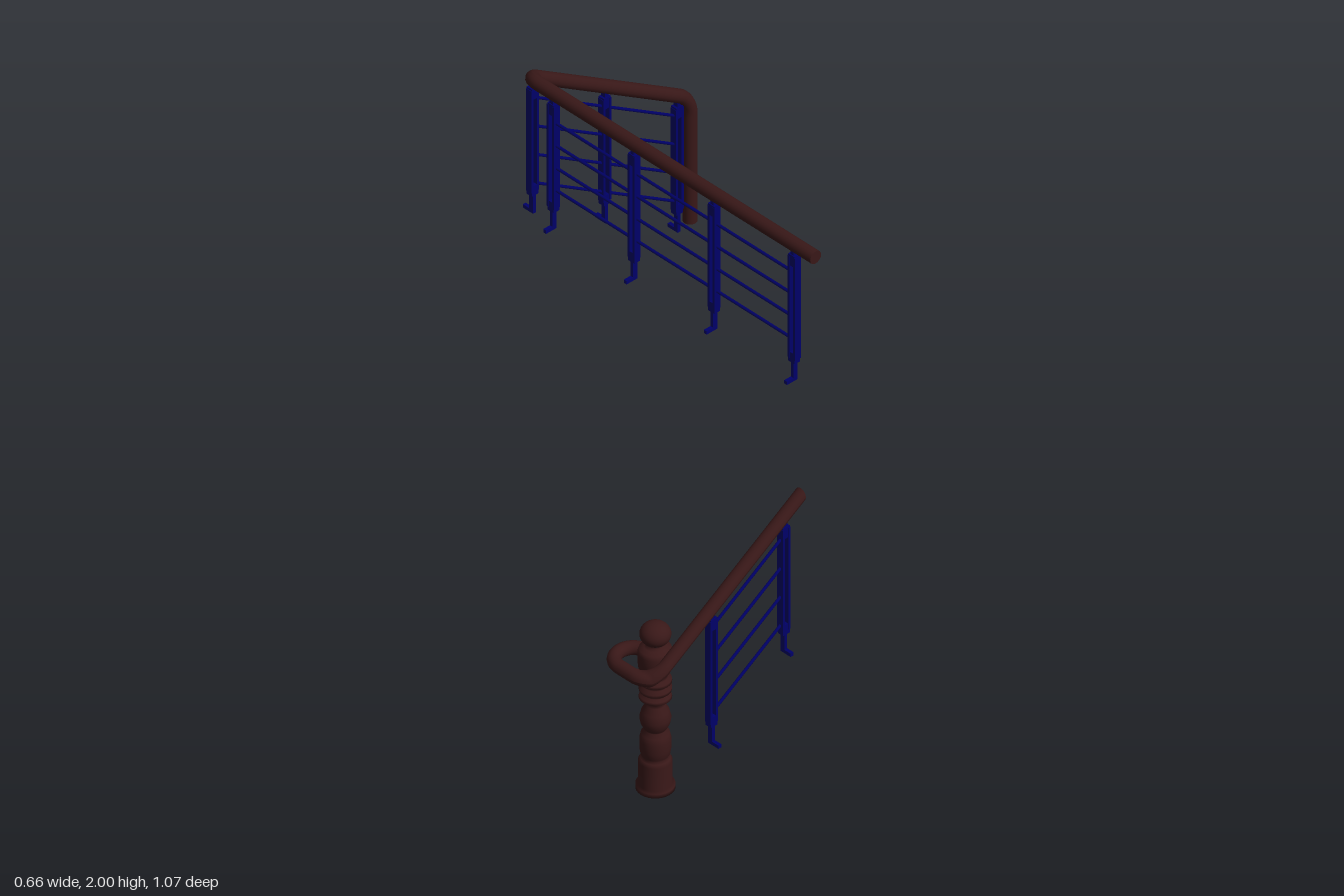
import * as THREE from 'three';

const wood = new THREE.MeshStandardMaterial({ color: 0x391818 });
wood.name = 'dark brown wood';
const metal = new THREE.MeshStandardMaterial({ color: 0x000068 });
metal.name = 'navy metal';

const SLOPE = 0.635;
const RAIL_R = 0.0187;
const V = (x, y, z) => new THREE.Vector3(x, y, z);

function add(parent, name, geometry, material, x = 0, y = 0, z = 0) {
  const mesh = new THREE.Mesh(geometry, material);
  mesh.name = name;
  mesh.position.set(x, y, z);
  parent.add(mesh);
  return mesh;
}

// Round handrail through corner points, each corner rounded by its own radius;
// lift(x, z) raises the finished tube by a rule
function handrail(name, corners, radii, lift = () => 0) {
  const group = new THREE.Group();
  group.name = name;
  const path = new THREE.CurvePath();
  let from = corners[0];
  for (let i = 1; i < corners.length - 1; i++) {
    const c = corners[i], r = radii[i - 1];
    const a = c.clone().add(corners[i - 1].clone().sub(c).setLength(r));
    const b = c.clone().add(corners[i + 1].clone().sub(c).setLength(r));
    if (from.distanceTo(a) > 1e-4) path.add(new THREE.LineCurve3(from, a));
    // cubic handles close to a circular arc
    path.add(new THREE.CubicBezierCurve3(a, a.clone().lerp(c, 0.55), b.clone().lerp(c, 0.55), b));
    from = b;
  }
  const last = corners[corners.length - 1];
  path.add(new THREE.LineCurve3(from, last));
  const tube = new THREE.TubeGeometry(path, 220, RAIL_R, 16, false);
  const pos = tube.attributes.position;
  for (let i = 0; i < pos.count; i++) {
    pos.setY(i, pos.getY(i) + lift(pos.getX(i), pos.getZ(i)));
  }
  tube.computeVertexNormals();
  add(group, name + 'Tube', tube, wood);
  // end caps
  for (const [p, next] of [[corners[0], corners[1]], [last, corners[corners.length - 2]]]) {
    const cap = add(group, name + 'End', new THREE.CircleGeometry(RAIL_R, 16), wood, p.x, p.y, p.z);
    cap.lookAt(p.clone().multiplyScalar(2).sub(next));
    cap.position.y += lift(p.x, p.z);
  }
  return group;
}

// Baluster hanging below the rail centre; its foot bracket points to local +z
function baluster(x, y) {
  const group = new THREE.Group();
  group.name = 'baluster';
  group.position.set(x, y, 0);
  for (const s of [-1, 1]) {
    add(group, 'balusterBar', new THREE.BoxGeometry(0.007, 0.315, 0.02), metal, s * 0.0095, -0.1925, 0);
  }
  add(group, 'upperCollar', new THREE.BoxGeometry(0.023, 0.034, 0.019), metal, 0, -0.047, 0);
  add(group, 'lowerCollar', new THREE.BoxGeometry(0.023, 0.03, 0.019), metal, 0, -0.346, 0);
  add(group, 'topPin', new THREE.BoxGeometry(0.011, 0.03, 0.014), metal, 0, -0.022, 0);
  add(group, 'footPin', new THREE.BoxGeometry(0.01, 0.06, 0.014), metal, 0, -0.388, 0);
  add(group, 'footBracket', new THREE.BoxGeometry(0.01, 0.01, 0.036), metal, 0, -0.413, 0.0115);
  return group;
}

// Row of balusters with four rods in every bay; posts are [x, railHeight]
function panel(name, posts, firstRod, rodStep) {
  const group = new THREE.Group();
  group.name = name;
  posts.forEach(([x, y], i) => {
    group.add(baluster(x, y));
    if (i === 0) return;
    const [px, py] = posts[i - 1];
    const dx = x - px, dy = y - py;
    const trim = 1 - 0.022 / Math.abs(dx);
    for (let k = 0; k < 4; k++) {
      const rod = add(group, 'rod',
        new THREE.CylinderGeometry(0.0042, 0.0042, Math.hypot(dx, dy) * trim, 8), metal,
        (x + px) / 2, (y + py) / 2 - firstRod - k * rodStep, 0);
      rod.rotation.z = Math.atan2(dy, dx) - Math.PI / 2;
    }
  });
  return group;
}

// Turned newel post
function newelPost() {
  const profile = [
    [0, 0], [0.05, 0], [0.05, 0.012], [0.043, 0.016], [0.043, 0.085], [0.038, 0.094],
    [0.032, 0.098], [0.037, 0.106], [0.04, 0.125], [0.04, 0.152], [0.036, 0.17],
    [0.026, 0.18], [0.03, 0.186], [0.037, 0.2], [0.04, 0.217], [0.035, 0.238],
    [0.024, 0.256], [0.022, 0.266], [0.034, 0.274], [0.042, 0.28], [0.04, 0.287],
    [0.031, 0.291], [0.031, 0.297], [0.041, 0.302], [0.042, 0.311], [0.032, 0.317],
    [0.032, 0.323], [0.042, 0.329], [0.041, 0.337], [0.031, 0.342], [0.031, 0.35],
    [0.037, 0.358], [0.043, 0.374], [0.045, 0.395], [0.045, 0.418], [0.041, 0.43],
    [0.028, 0.435], [0.022, 0.44], [0.022, 0.445],
  ].map(([r, y]) => new THREE.Vector2(r, y));
  const group = new THREE.Group();
  group.name = 'newelPost';
  group.position.set(-0.22, 0, -0.077);
  add(group, 'turnedShaft', new THREE.LatheGeometry(profile, 28), wood);
  const ball = add(group, 'ballFinial', new THREE.SphereGeometry(0.04, 28, 18), wood, 0, 0.473, 0);
  ball.scale.y = 0.82;
  return group;
}

export function createModel() {
  const model = new THREE.Group();
  model.name = 'staircaseRailing';

  // Lower flight: rail laid out level, its straight run sheared up the slope, curling into the newel
  const LZ = -0.003, LY = 0.4, FOOT = -0.302;
  const rise = (x, z) => (z > -0.06 ? Math.max(0, x - FOOT) * SLOPE : 0);
  model.add(handrail('lowerHandrail', [
    V(0.207, LY, LZ), V(-0.312, LY, LZ),
    V(-0.312, LY, -0.156), V(-0.218, LY, -0.156), V(-0.218, LY, -0.08),
  ], [0.055, 0.046, 0.046], rise));
  const lower = panel('lowerPanel', [-0.098, 0.149].map((x) => [x, LY + rise(x, LZ)]), 0.061, 0.088);
  lower.position.z = LZ;
  model.add(lower, newelPost());

  // Upper flight: level rail, corner, sloping rail, then a drop
  const TOP = 1.982, RX = -0.2535, RZ = -0.507;
  const upY = (x) => TOP - (x - RX) * SLOPE;
  model.add(handrail('upperHandrail', [
    V(RX, TOP, 0.533), V(RX, TOP, RZ), V(0.309, upY(0.309), RZ), V(0.309, 1.245, RZ),
  ], [0.045, 0.045]));

  // Level panel runs along z, brackets towards -x
  const level = panel('levelPanel', [-0.408, -0.119, 0.168, 0.456].map((z) => [z, TOP]), 0.088, 0.069);
  level.position.x = RX;
  level.rotation.y = -Math.PI / 2;
  // Sloping panel runs along x, brackets towards -z
  const sloping = panel('slopingPanel', [0.265, 0.017, -0.23].map((x) => [-x, upY(x)]), 0.063, 0.088);
  sloping.position.z = RZ;
  sloping.rotation.y = Math.PI;
  model.add(level, sloping);

  return model;
}
